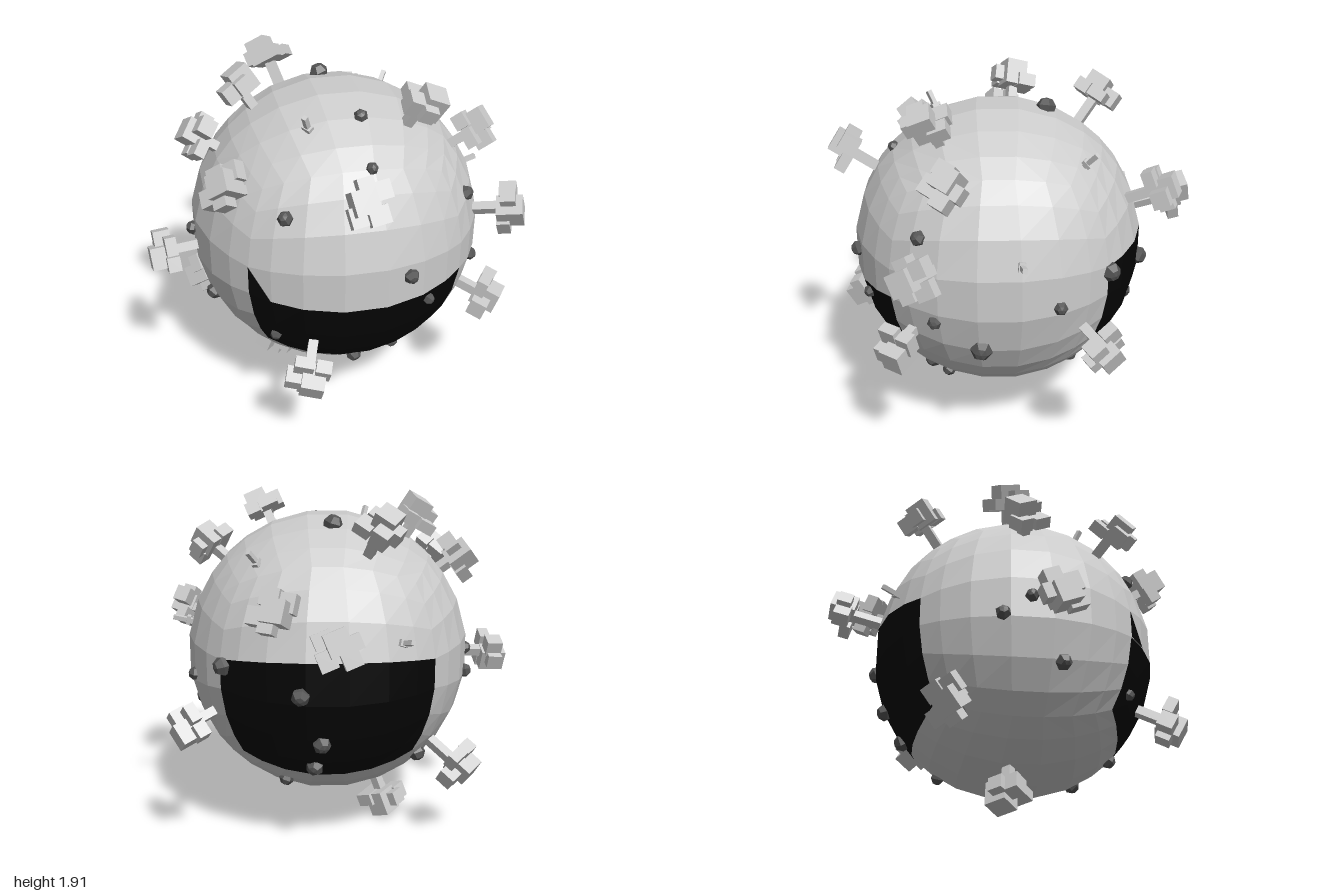
import * as THREE from 'three';
import { mergeGeometries } from 'three/addons/utils/BufferGeometryUtils.js';

const CENTER = new THREE.Vector3(0.03, 0.995, 0.055);
const RADIUS = 0.797;
const UP = new THREE.Vector3(0, 1, 0);

const leafMat = new THREE.MeshStandardMaterial({ color: 0xcccccc, flatShading: true });
const rockMat = new THREE.MeshStandardMaterial({ color: 0x555555, flatShading: true });
const seaMat = new THREE.MeshStandardMaterial({ color: 0x050505, flatShading: true });

// Crown centres of the trees
const TREES = [
  [0.41, 1.80, 0.41], [0.73, 1.58, 0.32], [0.90, 1.17, 0.47], [0.76, 0.70, 0.59],
  [0.02, 1.53, 0.88], [-0.28, 0.53, 0.87], [-0.30, 0.10, -0.02], [-0.24, 1.76, -0.52],
  [-0.47, 1.78, -0.04], [0.30, 1.39, -0.80], [-0.02, 1.23, -0.93], [0.78, 0.70, -0.48],
  [-0.93, 0.95, 0.18], [-0.63, 1.50, 0.53], [-0.70, 1.54, 0.03], [-0.69, 0.43, -0.37],
];

// Bare sticks
const STICKS = [[0.86, 1.2, -0.06], [0.41, 1.58, -0.41], [-0.18, 1.71, 0.40], [-0.38, 1.2, -0.68]];

// Rocks: x, y, z, size
const ROCKS = [
  [0.10, 1.73, 0.36, 0.9], [0.10, 1.56, 0.61, 0.8], [-0.345, 1.36, 0.66, 1], [0.66, 1.28, 0.46, 1],
  [0.265, 1.04, 0.82, 1], [0.385, 0.84, 0.75, 0.8], [0.745, 0.84, 0.39, 0.9], [-0.69, 0.67, 0.22, 1.1],
  [-0.40, 0.635, 0.62, 0.8], [0.03, 0.405, 0.60, 1], [0.29, 0.33, 0.44, 1.1], [0.46, 0.37, 0.34, 0.9],
  [-0.77, 0.90, -0.10, 1], [-0.77, 1.0, 0.05, 0.9], [0.76, 0.69, 0.15, 1.4], [0.76, 0.93, -0.25, 0.9],
  [0.58, 1.04, -0.52, 1.3], [0.17, 0.93, -0.74, 1.2], [0.06, 0.66, -0.66, 1.2], [0.10, 0.50, -0.56, 1.2],
  [0.26, 0.35, -0.35, 1], [-0.455, 0.49, -0.29, 1.2], [0.0, 1.75, -0.21, 1.3],
];

function mesh(name, geometry, material) {
  const m = new THREE.Mesh(geometry, material);
  m.name = name;
  return m;
}

function box(w, h, d, x = 0, y = 0, z = 0) {
  return new THREE.BoxGeometry(w, h, d).translate(x, y, z);
}

// Group on the globe whose +y points outward through the given point
function outward(name, point, spin) {
  const g = new THREE.Group();
  g.name = name;
  const rel = new THREE.Vector3(point[0], point[1], point[2]).sub(CENTER);
  g.position.copy(CENTER);
  g.quaternion.setFromUnitVectors(UP, rel.clone().normalize());
  g.rotateY(spin);
  g.userData.distance = rel.length();
  return g;
}

// Cube sphere split into land and two seas
function makeGlobe() {
  const cube = new THREE.BoxGeometry(2, 2, 2, 7, 7, 7).toNonIndexed().getAttribute('position');
  const land = [], sea = [];
  const onSphere = (v, out, lift = 1) => {
    const p = v.clone().normalize().multiplyScalar(RADIUS * lift).add(CENTER);
    out.push(p.x, p.y, p.z);
  };
  for (let i = 0; i < cube.count; i += 3) {
    const tri = [0, 1, 2].map((k) => new THREE.Vector3().fromBufferAttribute(cube, i + k));
    const mid = tri[0].clone().add(tri[1]).add(tri[2]).divideScalar(3);
    const isSea = (mid.z > 0.999 && mid.y < -1 / 7) || (mid.z < -0.999 && mid.y < 1 / 7);
    tri.forEach((v) => onSphere(v, isSea ? sea : land));
  }
  // Small inlet above the left end of the front sea
  [[-1, 1 / 7], [-1, -1 / 7], [-5 / 7, -1 / 7]].forEach(([x, y]) =>
    onSphere(new THREE.Vector3(x, y, 1), sea, 1.004));
  const build = (points) => {
    const g = new THREE.BufferGeometry();
    g.setAttribute('position', new THREE.Float32BufferAttribute(points, 3));
    g.computeVertexNormals();
    return g;
  };
  const globe = new THREE.Group();
  globe.name = 'globe';
  globe.add(mesh('land', build(land), leafMat), mesh('seas', build(sea), seaMat));
  return globe;
}

export function createModel() {
  const model = new THREE.Group();
  model.name = 'tinyPlanet';
  model.add(makeGlobe());

  // Trees: square trunk and a crown of overlapping blocks
  const crown = mergeGeometries([
    box(0.12, 0.14, 0.12, 0.03, 0.01, 0.01),
    box(0.09, 0.09, 0.09, -0.065, 0, 0.04),
    box(0.08, 0.07, 0.10, 0.07, -0.03, -0.05),
    box(0.08, 0.08, 0.07, 0, 0.005, 0.085),
    box(0.10, 0.06, 0.09, -0.03, -0.03, -0.07),
  ]);
  TREES.forEach((p, i) => {
    const tree = outward('tree', p, i * 2.4);
    const d = tree.userData.distance;
    const top = mesh('crown', crown, leafMat);
    top.position.y = d;
    tree.add(mesh('trunk', box(0.05, d - 0.76, 0.05, 0, (d + 0.76) / 2, 0), leafMat), top);
    model.add(tree);
  });

  // Sticks with a small cross block
  STICKS.forEach((p, i) => {
    const stick = outward('stick', p, i * 1.1);
    stick.add(mesh('stem', box(0.025, 0.13, 0.025, 0, 0.835, 0), leafMat));
    stick.add(mesh('knot', box(0.05, 0.02, 0.035, 0, 0.815, 0), leafMat));
    model.add(stick);
  });

  // Rocks: faceted pebbles half sunk in the surface
  const profile = [[0, -0.04], [0.036, -0.02], [0.042, 0.004], [0.024, 0.03], [0, 0.036]];
  const rockGeo = new THREE.LatheGeometry(profile.map(([x, y]) => new THREE.Vector2(x, y)), 6);
  ROCKS.forEach((p, i) => {
    const holder = outward('rock', p, i * 1.7);
    const rock = mesh('pebble', rockGeo, rockMat);
    rock.position.y = RADIUS;
    rock.rotation.set(0.3, 0, 0.2);
    rock.scale.setScalar(p[3]);
    holder.add(rock);
    model.add(holder);
  });

  return model;
}
